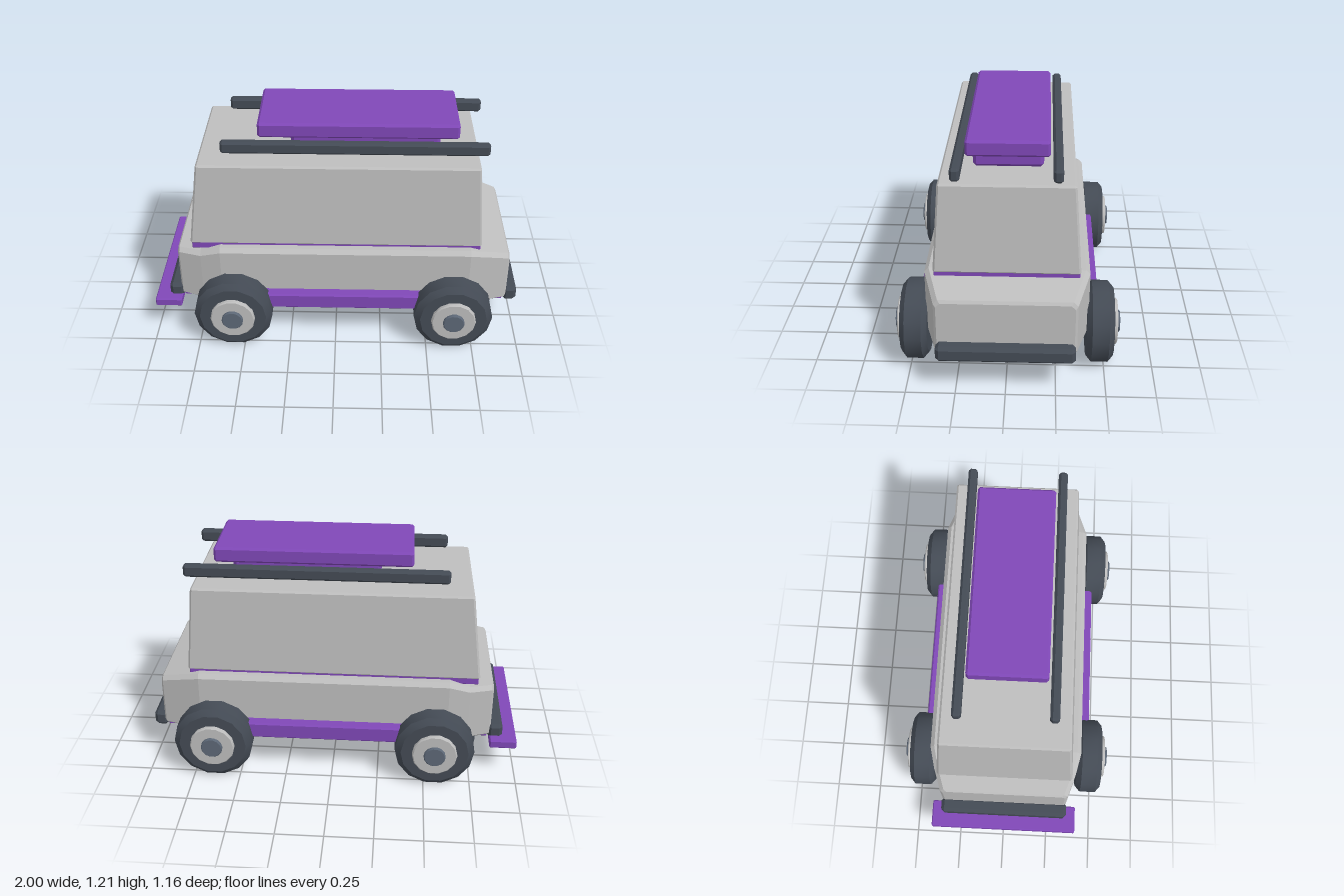
import * as THREE from 'three';
import { ConvexGeometry } from 'three/addons/geometries/ConvexGeometry.js';
import { toCreasedNormals } from 'three/addons/utils/BufferGeometryUtils.js';

const paint = (name, color) => {
  const m = new THREE.MeshStandardMaterial({ color });
  m.name = name;
  return m;
};

// Box with chamfered edges; its top may be inset in x (left, right) and z
function chamferBox([x0, x1], [y0, y1], [z0, z1], b, inset = [0, 0, 0]) {
  const pts = [];
  for (const sx of [0, 1]) for (const sy of [0, 1]) for (const sz of [0, 1]) {
    const x = sx ? x1 - sy * inset[1] : x0 + sy * inset[0];
    const y = sy ? y1 : y0;
    const z = sz ? z1 - sy * inset[2] : z0 + sy * inset[2];
    const dx = sx ? -b : b, dy = sy ? -b : b, dz = sz ? -b : b;
    pts.push(
      new THREE.Vector3(x, y + dy, z + dz),
      new THREE.Vector3(x + dx, y, z + dz),
      new THREE.Vector3(x + dx, y + dy, z)
    );
  }
  return new ConvexGeometry(pts);
}

// Lower body lofted along x from chamfered cross-sections: [x, half width, bottom, top]
function bodyGeometry() {
  const stations = [
    [-0.86, 0.335, 0.22, 0.505],
    [-0.85, 0.35, 0.21, 0.517],
    [-0.73, 0.39, 0.21, 0.522],
    [-0.62, 0.415, 0.21, 0.56],
    [0.72, 0.415, 0.21, 0.56],
    [0.93, 0.352, 0.21, 0.505],
    [0.94, 0.34, 0.22, 0.49],
  ];
  const e = 0.012, b = 0.022;
  const rings = stations.map(([x, w, y0, y1]) => {
    const half = [[w - e, y0], [w, y0 + e], [w, y1 - b], [w - b, y1]];
    const mirrored = half.map(([z, y]) => [-z, y]).reverse();
    return [...half, ...mirrored].map(([z, y]) => [x, y, z]);
  });
  const pos = [];
  const tri = (p, q, r) => pos.push(...p, ...q, ...r);
  for (let i = 0; i < rings.length - 1; i++) {
    for (let j = 0; j < 8; j++) {
      const k = (j + 1) % 8, A = rings[i], B = rings[i + 1];
      tri(A[j], B[j], B[k]);
      tri(A[j], B[k], A[k]);
    }
  }
  const first = rings[0], last = rings[rings.length - 1];
  for (let j = 1; j < 7; j++) {
    tri(first[0], first[j], first[j + 1]);
    tri(last[0], last[j + 1], last[j]);
  }
  const g = new THREE.BufferGeometry();
  g.setAttribute('position', new THREE.Float32BufferAttribute(pos, 3));
  g.computeVertexNormals();
  return g;
}

// Turned part lying along z, from [radius, z] points
function turned(profile, sides) {
  const g = new THREE.LatheGeometry(profile.map(([r, z]) => new THREE.Vector2(r, z)), sides);
  g.rotateY(Math.PI / 2);
  g.rotateX(Math.PI / 2);
  return toCreasedNormals(g, 0.6);
}

export function createModel() {
  const model = new THREE.Group();
  model.name = 'van';
  const grey = paint('bodyGrey', 0xbebebe);
  const purple = paint('trimPurple', 0x8048b8);
  const dark = paint('rubberDark', 0x444b55);
  const steel = paint('capSteel', 0x5d6877);

  const add = (name, geometry, material, parent = model) => {
    const mesh = new THREE.Mesh(geometry, material);
    mesh.name = name;
    parent.add(mesh);
    return mesh;
  };

  // Body, cabin and the thin seams between them
  add('lowerBody', bodyGeometry(), grey);
  add('cabin', chamferBox([-0.78, 0.78], [0.565, 1.033], [-0.367, 0.367], 0.01, [0.055, 0.035, 0.032]), grey);
  add('cabinSeam', chamferBox([-0.772, 0.772], [0.535, 0.575], [-0.362, 0.362], 0.003), purple);
  add('floorPlate', chamferBox([-0.84, 0.92], [0.2, 0.216], [-0.345, 0.345], 0.003), purple);
  add('undertray', chamferBox([-0.78, 0.86], [0.12, 0.204], [-0.337, 0.337], 0.02), dark);

  // Bumpers and rear step
  add('frontBumper', chamferBox([0.925, 1.0], [0.185, 0.272], [-0.345, 0.345], 0.018), dark);
  add('rearBumper', chamferBox([-0.925, -0.845], [0.19, 0.275], [-0.355, 0.355], 0.018), dark);
  add('rearStep', chamferBox([-1.0, -0.855], [0.163, 0.21], [-0.407, 0.407], 0.006), purple);

  // Roof box
  add('roofBoxBase', chamferBox([-0.24, 0.54], [1.032, 1.14], [-0.176, 0.176], 0.018), purple);
  add('roofBoxLid', chamferBox([-0.41, 0.635], [1.128, 1.212], [-0.207, 0.207], 0.012), purple);

  // Parts repeated on both sides
  const tyre = turned([[0, 0.405], [0.18, 0.405], [0.212, 0.432], [0.212, 0.518], [0.18, 0.545], [0, 0.545]], 14);
  const hub = turned([[0, 0.54], [0.12, 0.54], [0.12, 0.56], [0.114, 0.566], [0, 0.566]], 14);
  const cap = turned([[0, 0.56], [0.058, 0.56], [0.058, 0.576], [0.053, 0.581], [0, 0.581]], 14);
  for (const s of [1, -1]) {
    const side = s > 0 ? 'front' : 'back';
    const zRange = (a, b) => (s > 0 ? [a, b] : [-b, -a]);
    add(side + 'RoofRail', chamferBox([-0.6, 0.79], [1.065, 1.133], zRange(0.221, 0.269), 0.012), dark);
    add(side + 'Sill', chamferBox([-0.4, 0.48], [0.215, 0.305], zRange(0.38, 0.47), 0.008), purple);
    for (const x of [-0.553, 0.637]) {
      const wheel = new THREE.Group();
      wheel.name = side + (x < 0 ? 'RearWheel' : 'LeadWheel');
      wheel.position.set(x, 0.208, 0);
      if (s < 0) wheel.rotation.y = Math.PI;
      add('tyre', tyre, dark, wheel);
      add('hub', hub, grey, wheel);
      add('hubCap', cap, steel, wheel);
      model.add(wheel);
    }
  }
  return model;
}
